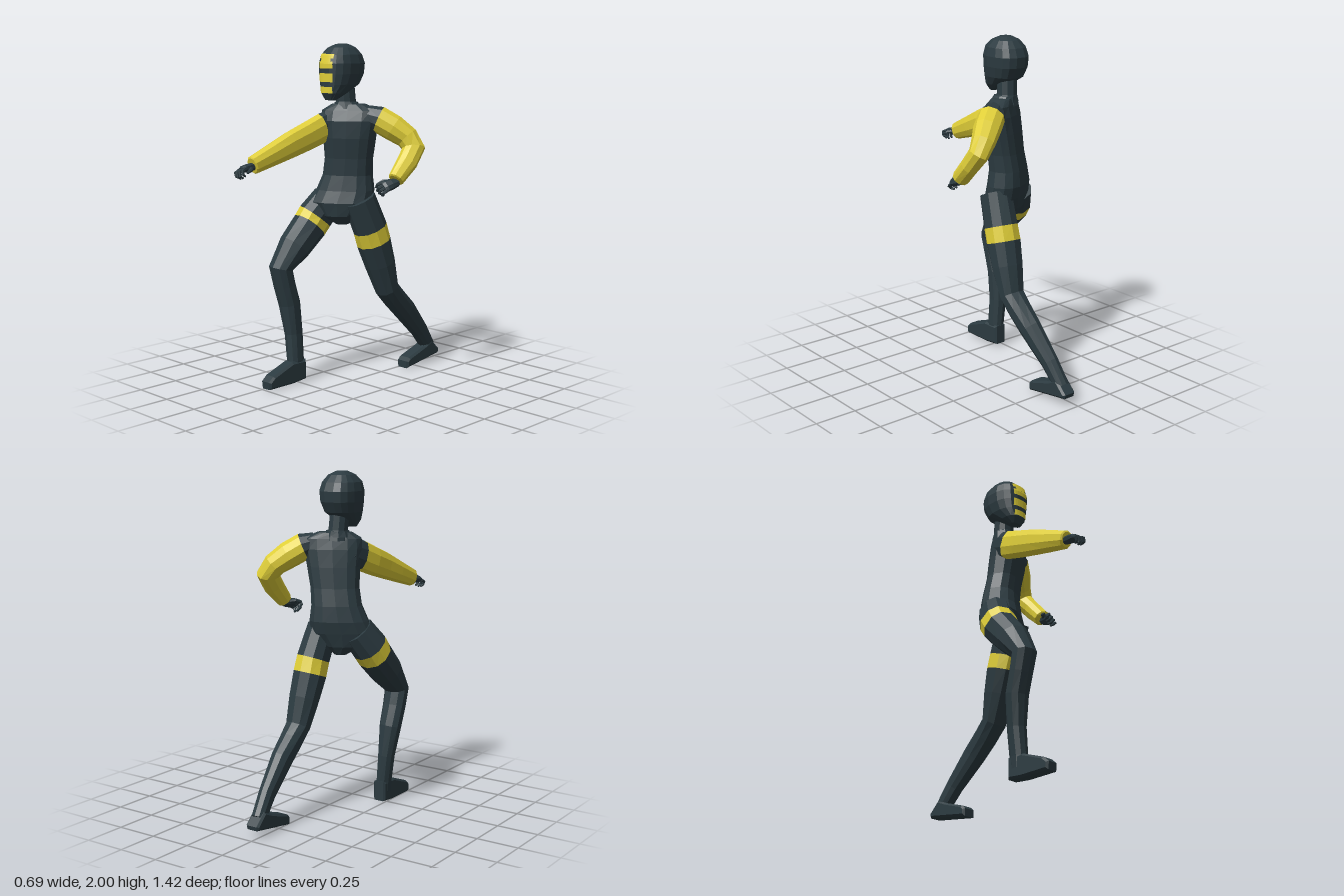
import * as THREE from 'three';

const suit = new THREE.MeshStandardMaterial({ color: 0x2c3b41, flatShading: true });
suit.name = 'dark suit';
const yellow = new THREE.MeshStandardMaterial({ color: 0xdfce38, flatShading: true });
yellow.name = 'yellow';

const V = (x, y, z) => new THREE.Vector3(x, y, z);
const spow = (c, n) => Math.sign(c) * Math.abs(c) ** (2 / n);

// Loft through stations [x, y, z, radiusU, radiusV, material index of the span that follows].
// ref gives the direction of radiusU; axis (optional) keeps all rings parallel.
function loft(name, stations, { ref = V(1, 0, 0), axis = null, sides = 10, n = 2.2 } = {}) {
  const pos = [], idx = [], geo = new THREE.BufferGeometry();
  const pts = stations.map(s => V(s[0], s[1], s[2]));
  const last = pts.length - 1;
  const dir = i => pts[i + 1].clone().sub(pts[i]).normalize();
  stations.forEach((s, i) => {
    const t = axis ? axis.clone() : dir(Math.max(i - 1, 0)).add(dir(Math.min(i, last - 1))).normalize();
    const u = ref.clone().addScaledVector(t, -ref.dot(t)).normalize();
    const v = t.clone().cross(u);
    for (let j = 0; j < sides; j++) {
      const a = ((j + 0.5) / sides) * Math.PI * 2;
      const p = pts[i].clone().addScaledVector(u, s[3] * spow(Math.cos(a), n)).addScaledVector(v, s[4] * spow(Math.sin(a), n));
      pos.push(p.x, p.y, p.z);
    }
  });
  const c0 = pos.length / 3;
  pos.push(...pts[0].toArray(), ...pts[last].toArray());
  for (let i = 0; i < last; i++) {
    const start = idx.length;
    for (let j = 0; j < sides; j++) {
      const k = (j + 1) % sides, a = i * sides, b = a + sides;
      idx.push(a + j, a + k, b + k, a + j, b + k, b + j);
      if (i === 0) idx.push(c0, k, j);
      if (i === last - 1) idx.push(c0 + 1, b + j, b + k);
    }
    geo.addGroup(start, idx.length - start, stations[i][5] || 0);
  }
  geo.setAttribute('position', new THREE.Float32BufferAttribute(pos, 3));
  geo.setIndex(idx);
  geo.computeVertexNormals();
  const mesh = new THREE.Mesh(geo, [suit, yellow]);
  mesh.name = name;
  return mesh;
}

// Shoe from a side outline of [z, y] points
function foot(name, outline, x, width) {
  const b = 0.012;
  const shape = new THREE.Shape(outline.map(p => new THREE.Vector2(p[0], p[1])));
  const geo = new THREE.ExtrudeGeometry(shape, { depth: width - 2 * b, bevelThickness: b, bevelSize: b, bevelOffset: -b, bevelSegments: 1 });
  geo.translate(0, 0, b - width / 2).rotateY(-Math.PI / 2).translate(x, 0, 0);
  const mesh = new THREE.Mesh(geo, suit);
  mesh.name = name;
  return mesh;
}

// Half-open hand reaching along local +z; side = 1 puts the thumb on +x
function hand(name, side) {
  const g = new THREE.Group();
  g.name = name;
  g.add(loft('palm', [[0, 0, -0.03, 0.024, 0.022], [0, 0, 0.015, 0.034, 0.025], [0, 0, 0.05, 0.038, 0.02], [0, -0.004, 0.066, 0.034, 0.014]], { sides: 8 }));
  for (let i = 0; i < 4; i++) {
    const x = (i - 1.5) * 0.019, l = i % 3 ? 1 : 0.85;
    g.add(loft('finger', [[x, 0, 0.055, 0.01, 0.01], [x * 1.15, -0.01, 0.055 + 0.035 * l, 0.0095, 0.0095],
      [x * 1.1, -0.036 * l, 0.055 + 0.038 * l, 0.008, 0.008], [x, -0.05 * l, 0.055 + 0.02 * l, 0.006, 0.006]], { sides: 6 }));
  }
  g.add(loft('thumb', [[side * 0.02, -0.005, 0.01, 0.012, 0.012], [side * 0.046, -0.016, 0.035, 0.011, 0.011],
    [side * 0.048, -0.028, 0.068, 0.007, 0.007]], { ref: V(0, 1, 0), sides: 6 }));
  return g;
}

// Head rings: y, centre z, half width, half depth
const HX = -0.09, HN = 2.5;
const headRings = [[1.68, 0.09, 0.035, 0.022], [1.72, 0.06, 0.068, 0.073], [1.77, 0.015, 0.094, 0.118],
  [1.83, 0, 0.108, 0.134], [1.89, -0.003, 0.112, 0.137], [1.94, 0, 0.101, 0.12], [1.98, -0.002, 0.07, 0.08], [2, -0.004, 0.032, 0.035]];

function faceZ(x, y) {
  let i = 0;
  while (i < headRings.length - 2 && headRings[i + 1][0] < y) i++;
  const a = headRings[i], b = headRings[i + 1], f = (y - a[0]) / (b[0] - a[0]);
  const [, c, w, d] = a.map((v, k) => v + (b[k] - v) * f);
  return c + d * Math.max(0, 1 - (Math.abs(x - HX) / w) ** HN) ** (1 / HN);
}

// Thin painted patch that follows the face
function facePatch(x0, x1, y0, y1) {
  const geo = new THREE.PlaneGeometry(x1 - x0, y1 - y0, 8, 6);
  geo.translate((x0 + x1) / 2, (y0 + y1) / 2, 0);
  const p = geo.attributes.position;
  for (let i = 0; i < p.count; i++) p.setZ(i, faceZ(p.getX(i), p.getY(i)) + 0.003);
  geo.computeVertexNormals();
  const mesh = new THREE.Mesh(geo, yellow);
  mesh.name = 'faceStripe';
  return mesh;
}

export function createModel() {
  const g = new THREE.Group();
  g.name = 'lungingFigure';
  const up = V(0, 1, 0), yaw = 0.55;

  // Twisted trunk, neck and collar
  const across = V(Math.cos(yaw), 0, -Math.sin(yaw));
  g.add(loft('torso', [
    [-0.09, 0.95, -0.01, 0.04, 0.06], [-0.1, 1.0, 0, 0.11, 0.095], [-0.1, 1.08, -0.005, 0.185, 0.112],
    [-0.09, 1.15, -0.03, 0.172, 0.11], [-0.08, 1.24, -0.04, 0.147, 0.1], [-0.065, 1.34, -0.035, 0.142, 0.095],
    [-0.05, 1.46, -0.025, 0.155, 0.1], [-0.042, 1.56, -0.02, 0.17, 0.095], [-0.042, 1.62, -0.025, 0.168, 0.075],
    [-0.055, 1.655, -0.025, 0.1, 0.058]], { ref: across, axis: up, sides: 14, n: 2.5 }));
  g.add(loft('neck', [[-0.07, 1.61, -0.025, 0.075, 0.075], [-0.08, 1.67, -0.025, 0.056, 0.058], [-0.087, 1.8, -0.015, 0.056, 0.058]], { axis: up }));
  g.add(loft('collar', [[-0.068, 1.63, -0.02, 0.085, 0.075], [-0.074, 1.665, -0.022, 0.066, 0.066]], { axis: up }));

  // Masked head with stripes and eye slits
  g.add(loft('head', headRings.map(r => [HX, r[0], r[1], r[2], r[3]]), { axis: up, sides: 16, n: HN }));
  g.add(facePatch(-0.143, -0.037, 1.918, 1.945));
  g.add(facePatch(-0.128, -0.052, 1.902, 1.918));
  g.add(facePatch(-0.143, -0.037, 1.862, 1.902));
  g.add(facePatch(-0.143, -0.037, 1.785, 1.835));
  g.add(facePatch(-0.135, -0.042, 1.722, 1.758));

  // Legs with thigh bands
  g.add(loft('rightLeg', [
    [-0.185, 1.09, 0.015, 0.09, 0.1], [-0.23, 0.985, 0.085, 0.1, 0.107, 1], [-0.238, 0.935, 0.122, 0.102, 0.103],
    [-0.25, 0.82, 0.235, 0.097, 0.092], [-0.265, 0.7, 0.33, 0.074, 0.066], [-0.264, 0.6, 0.305, 0.07, 0.058],
    [-0.26, 0.48, 0.27, 0.066, 0.06], [-0.245, 0.3, 0.252, 0.049, 0.054], [-0.23, 0.14, 0.253, 0.043, 0.053],
    [-0.228, 0.06, 0.253, 0.04, 0.05]]));
  g.add(loft('leftLeg', [
    [0.015, 1.1, -0.04, 0.085, 0.1], [0.035, 0.92, -0.112, 0.092, 0.104, 1], [0.038, 0.835, -0.14, 0.096, 0.102],
    [0.047, 0.7, -0.185, 0.09, 0.089], [0.055, 0.54, -0.238, 0.074, 0.068], [0.055, 0.47, -0.305, 0.066, 0.07],
    [0.053, 0.38, -0.4, 0.057, 0.072], [0.04, 0.22, -0.553, 0.044, 0.056], [0.03, 0.1, -0.645, 0.041, 0.046]]));
  g.add(foot('rightFoot', [[0.2, 0.02], [0.3, 0.01], [0.49, 0.01], [0.495, 0.055], [0.46, 0.085], [0.31, 0.14], [0.2, 0.14]], -0.226, 0.082));
  g.add(foot('leftFoot', [[-0.705, 0.05], [-0.41, 0.005], [-0.408, 0.05], [-0.43, 0.07], [-0.57, 0.115], [-0.64, 0.145], [-0.712, 0.075]], 0.029, 0.09));

  // Right arm thrust forward, left arm bent back
  g.add(loft('rightArm', [
    [-0.14, 1.55, 0.0, 0.055, 0.085], [-0.155, 1.515, 0.095, 0.056, 0.09, 1], [-0.168, 1.475, 0.2, 0.058, 0.086, 1],
    [-0.175, 1.435, 0.32, 0.055, 0.08, 1], [-0.185, 1.39, 0.44, 0.052, 0.068, 1], [-0.198, 1.335, 0.59, 0.044, 0.053, 1],
    [-0.198, 1.333, 0.596, 0.036, 0.045]]));
  g.add(loft('leftArm', [
    [0.045, 1.59, -0.07, 0.06, 0.06], [0.105, 1.568, -0.11, 0.078, 0.076, 1], [0.175, 1.52, -0.158, 0.078, 0.075, 1],
    [0.24, 1.465, -0.205, 0.068, 0.066, 1], [0.281, 1.405, -0.215, 0.058, 0.068, 1], [0.29, 1.33, -0.15, 0.052, 0.06, 1],
    [0.286, 1.24, -0.06, 0.05, 0.047, 1], [0.286, 1.236, -0.056, 0.04, 0.038]], { ref: V(1, 0.6, 0.64) }));

  // Hands
  const rightHand = hand('rightHand', 1);
  rightHand.position.set(-0.2, 1.325, 0.61);
  rightHand.rotation.set(0.1, 0, 0.25);
  const leftHand = hand('leftHand', -1);
  leftHand.position.set(0.288, 1.218, -0.035);
  leftHand.rotation.set(0.2, -0.2, -0.7);
  g.add(rightHand, leftHand);
  return g;
}
